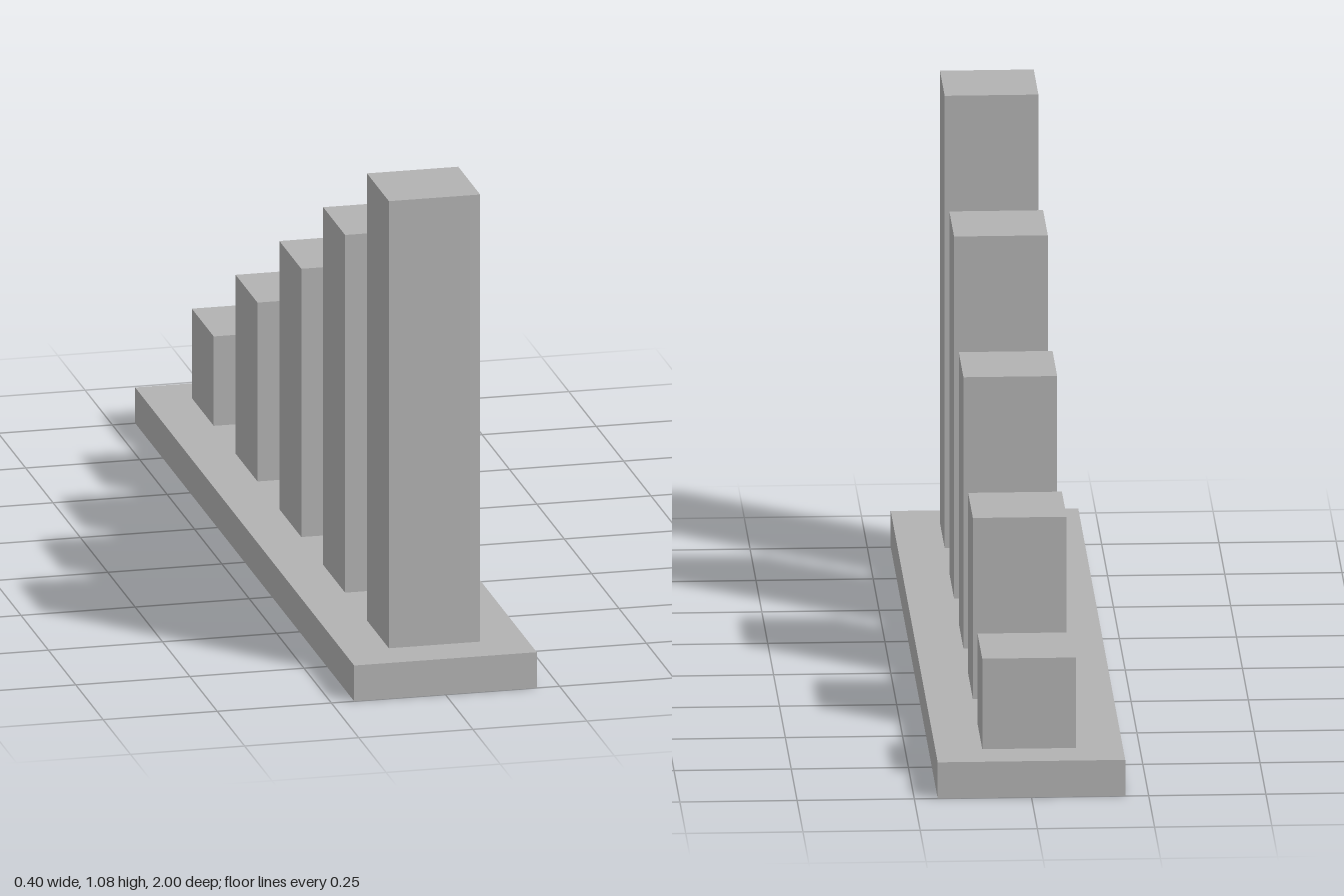
import * as THREE from 'three';

const grey = new THREE.MeshStandardMaterial({ name: 'grey', color: 0xb2b2b2 });

// Box standing on height y
function addBox(parent, name, width, height, depth, y, z) {
  const mesh = new THREE.Mesh(new THREE.BoxGeometry(width, height, depth), grey);
  mesh.name = name;
  mesh.position.set(0, y + height / 2, z);
  parent.add(mesh);
}

export function createModel() {
  const model = new THREE.Group();
  model.name = 'steppedPillars';

  // Base slab
  const baseHeight = 0.08;
  addBox(model, 'base', 0.4, baseHeight, 2, 0, 0);

  // Five square pillars, tallest at the front
  for (let i = 0; i < 5; i++) {
    addBox(model, `pillar${i + 1}`, 0.2, 1 - 0.2 * i, 0.2, baseHeight, 0.8 - 0.4 * i);
  }
  return model;
}
